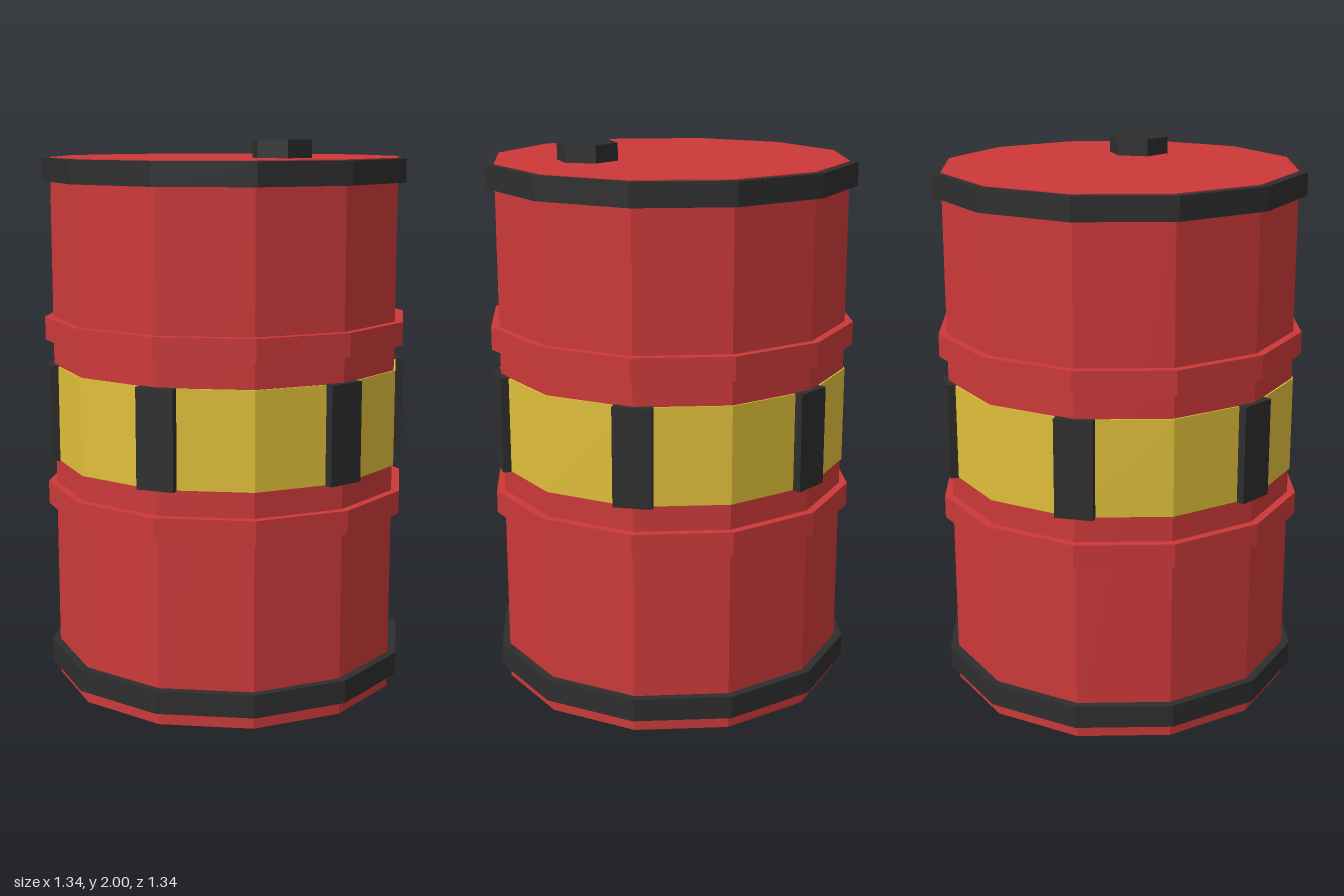
import * as THREE from 'three';

export function createModel() {
  const group = new THREE.Group();
  const paint = (name, color) => {
    const m = new THREE.MeshStandardMaterial({ color, flatShading: true });
    m.name = name;
    return m;
  };
  const red = paint('barrelRed', 0xcc3939);
  const yellow = paint('bandYellow', 0xe0bf3a);
  const dark = paint('rimCharcoal', 0x2e2e2e);

  const add = (name, geometry, material, x = 0, y = 0, z = 0) => {
    const mesh = new THREE.Mesh(geometry, material);
    mesh.name = name;
    mesh.position.set(x, y, z);
    group.add(mesh);
    return mesh;
  };

  // Upright prism spanning y0 to y1
  const prism = (name, radius, y0, y1, material, sides = 12, x = 0) =>
    add(name, new THREE.CylinderGeometry(radius, radius, y1 - y0, sides), material, x, (y0 + y1) / 2);

  // Drum body, its top just proud of the rim so the lid shows red
  prism('body', 0.64, 0, 1.938, red);

  // End rims
  prism('bottomRim', 0.67, 0.05, 0.133, dark);
  prism('topRim', 0.67, 1.853, 1.935, dark);

  // Rolled ribs
  prism('lowerRib', 0.67, 0.665, 0.75, red);
  prism('upperRib', 0.67, 1.282, 1.365, red);

  // Warning band with six dark plates on alternate corners
  prism('warningBand', 0.646, 0.842, 1.19, yellow);
  const plate = new THREE.BoxGeometry(0.05, 0.352, 0.136);
  for (let i = 0; i < 6; i++) {
    const a = (i * Math.PI) / 3;
    add('bandPlate', plate, dark, Math.cos(a) * 0.632, 1.016, -Math.sin(a) * 0.632).rotation.y = a;
  }

  // Hexagonal filler cap
  prism('fillerCap', 0.11, 1.93, 2, dark, 6, 0.307);

  return group;
}
